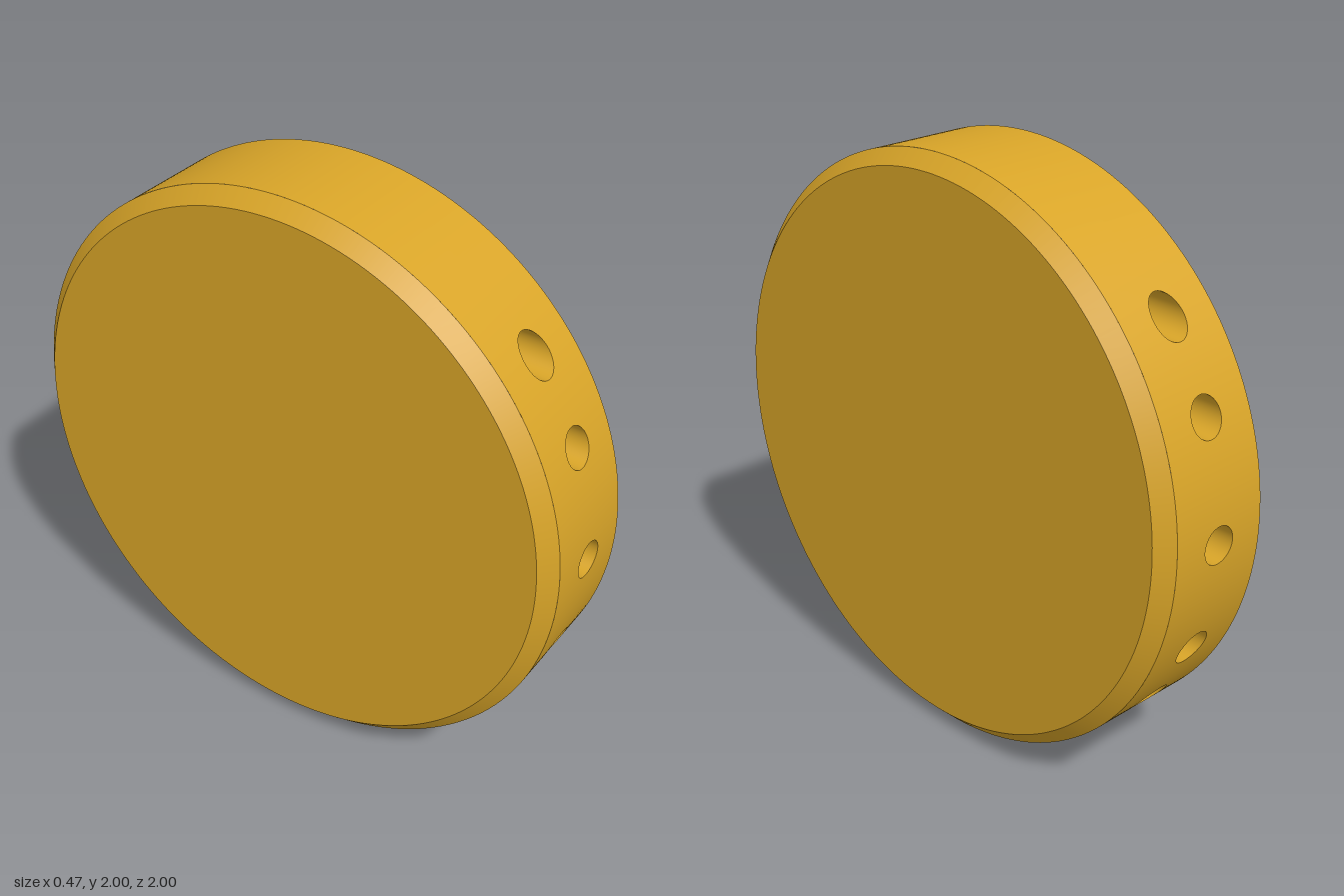
import * as THREE from 'three';

const R = 1, HALF = 0.236, CH = 0.05, BAND = HALF - CH, HOLE_R = 0.062;
const SEG = 64;
// each hole: height from the axis, and the stretch of rim (angles) around it
const HOLES = [
  { y: -0.643, from: -0.9, to: -0.54 },
  { y: -0.383, from: -0.54, to: -0.2 },
  { y: 0, from: -0.2, to: 0.2 },
  { y: 0.383, from: 0.2, to: 0.54 },
  { y: 0.643, from: 0.54, to: 0.9 },
];

// grid surface from point(u, v) and normal(u, point); winding follows the normals
function surface(nu, nv, point, normal) {
  const pos = [], nor = [], index = [];
  for (let j = 0; j <= nv; j++) {
    for (let i = 0; i <= nu; i++) {
      const p = point(i / nu, j / nv);
      pos.push(p.x, p.y, p.z);
      nor.push(...normal(i / nu, p).toArray());
    }
  }
  const at = (list, i) => new THREE.Vector3().fromArray(list, i * 3);
  const tri = (a, b, c) => {
    const A = at(pos, a);
    const n = at(pos, b).sub(A).cross(at(pos, c).sub(A));
    if (n.dot(at(nor, a)) < 0) index.push(a, c, b);
    else index.push(a, b, c);
  };
  for (let j = 0; j < nv; j++) {
    for (let i = 0; i < nu; i++) {
      const a = j * (nu + 1) + i, b = a + 1, c = a + nu + 1, d = c + 1;
      tri(a, b, d);
      tri(a, d, c);
    }
  }
  const g = new THREE.BufferGeometry();
  g.setAttribute('position', new THREE.Float32BufferAttribute(pos, 3));
  g.setAttribute('normal', new THREE.Float32BufferAttribute(nor, 3));
  g.setIndex(index);
  return g;
}

const onRim = (x, t) => new THREE.Vector3(x, R * Math.sin(t), R * Math.cos(t));
const rimNormal = (u, p) => new THREE.Vector3(0, p.y, p.z).normalize();

// rim tile blending from the round hole edge out to a rectangle
function rimTile({ y, from, to }) {
  return surface(SEG, 6, (u, v) => {
    const c = Math.cos(u * Math.PI * 2), s = Math.sin(u * Math.PI * 2);
    const m = Math.max(Math.abs(c), Math.abs(s));
    const holeT = Math.asin((y + HOLE_R * s) / R);
    const edgeT = (from + to) / 2 + (to - from) / 2 * s / m;
    return onRim(
      THREE.MathUtils.lerp(HOLE_R * c, BAND * c / m, v),
      THREE.MathUtils.lerp(holeT, edgeT, v));
  }, rimNormal);
}

// wall of a bore running straight through from front to back
function bore({ y }) {
  return surface(SEG, 1, (u, v) => {
    const a = u * Math.PI * 2, h = y + HOLE_R * Math.sin(a);
    return new THREE.Vector3(HOLE_R * Math.cos(a), h, (1 - 2 * v) * Math.sqrt(R * R - h * h));
  }, (u) => new THREE.Vector3(-Math.cos(u * Math.PI * 2), -Math.sin(u * Math.PI * 2), 0));
}

export function createModel() {
  const model = new THREE.Group();
  model.name = 'drilledDisc';
  const material = new THREE.MeshStandardMaterial({ color: 0xd9a528 });
  const add = (name, geometry, parent = model) => {
    const mesh = new THREE.Mesh(geometry, material);
    mesh.name = name;
    parent.add(mesh);
    return mesh;
  };

  // rim: drilled front half with plain upper arc, repeated behind and below
  const plain = surface(96, 2, (u, v) =>
    onRim((v * 2 - 1) * BAND, 0.9 + u * (Math.PI - 1.8)), rimNormal);
  const tiles = HOLES.map(rimTile);
  for (const [name, turn] of [['frontRim', 0], ['backRim', Math.PI]]) {
    const half = new THREE.Group();
    half.name = name;
    half.rotation.x = turn;
    tiles.forEach((tile) => add('rimAroundHole', tile, half));
    add('plainRim', plain, half);
    model.add(half);
  }

  // through holes
  HOLES.forEach((hole) => add('throughHole', bore(hole)));

  // chamfers and flat faces on both sides
  for (const side of [1, -1]) {
    const name = side > 0 ? 'left' : 'right';
    const chamfer = add(name + 'Chamfer', new THREE.CylinderGeometry(R - CH, R, CH, 192, 1, true));
    chamfer.rotation.z = -side * Math.PI / 2;
    chamfer.position.x = side * (HALF - CH / 2);
    const face = add(name + 'Face', new THREE.CircleGeometry(R - CH, 192));
    face.rotation.y = side * Math.PI / 2;
    face.position.x = side * HALF;
  }

  // stand the disc on the ground
  model.children.forEach((part) => { part.position.y += R; });
  return model;
}
